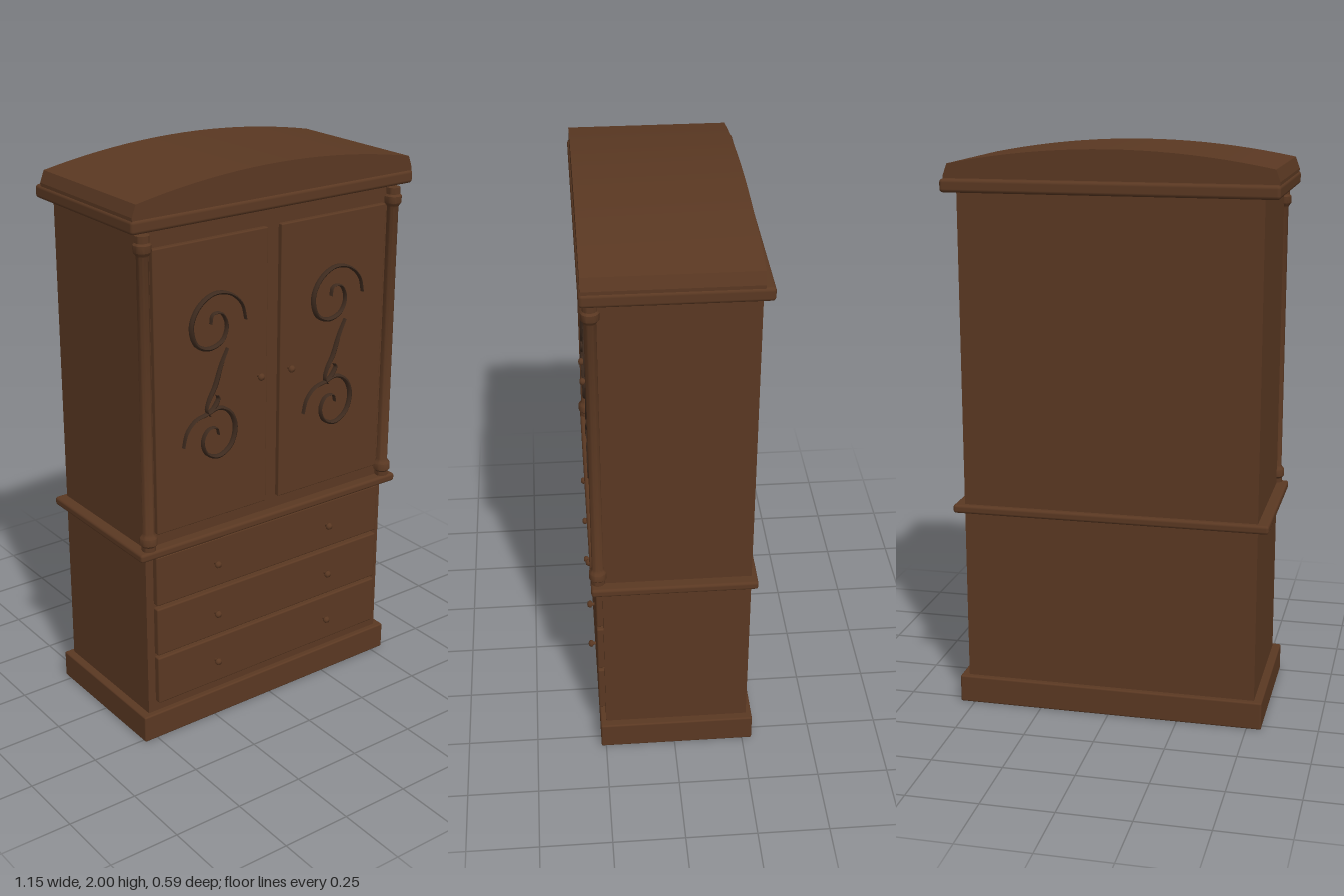
import * as THREE from 'three';
import { toCreasedNormals } from 'three/addons/utils/BufferGeometryUtils.js';
import { RoundedBoxGeometry } from 'three/addons/geometries/RoundedBoxGeometry.js';

export function createModel() {
  const wood = new THREE.MeshStandardMaterial({ color: 0x5a3822 });
  wood.name = 'brown wood';
  const carving = new THREE.MeshStandardMaterial({ color: 0x3d2a1e });
  carving.name = 'dark carving';

  const model = new THREE.Group();
  model.name = 'armoire';

  const add = (name, geometry, material = wood, parent = model) => {
    const mesh = new THREE.Mesh(geometry, material);
    mesh.name = name;
    parent.add(mesh);
    return mesh;
  };

  // Box given by its limits; r rounds the edges
  const block = (name, x0, x1, y0, y1, z0, z1, r = 0) => {
    const w = x1 - x0, h = y1 - y0, d = z1 - z0;
    const g = r ? new RoundedBoxGeometry(w, h, d, 2, r) : new THREE.BoxGeometry(w, h, d);
    g.translate((x0 + x1) / 2, (y0 + y1) / 2, (z0 + z1) / 2);
    return add(name, g);
  };

  // Carcass and mouldings
  block('base', -0.552, 0.552, 0, 0.1, -0.285, 0.267, 0.006);
  block('lowerCabinet', -0.523, 0.523, 0.09, 0.73, -0.265, 0.247);
  block('waistMoulding', -0.562, 0.562, 0.72, 0.751, -0.285, 0.286, 0.01);
  block('upperCabinet', -0.523, 0.523, 0.74, 1.86, -0.265, 0.247);
  block('cornice', -0.575, 0.575, 1.85, 1.896, -0.296, 0.296, 0.012);

  // Arched top with sloping ends
  const arch = new THREE.Shape();
  arch.moveTo(-0.57, 1.89);
  arch.lineTo(0.57, 1.89);
  arch.lineTo(0.57, 1.905);
  arch.lineTo(0.555, 1.945);
  arch.quadraticCurveTo(0, 2.055, -0.555, 1.945);
  arch.lineTo(-0.57, 1.905);
  const archGeometry = new THREE.ExtrudeGeometry(arch, { depth: 0.555, bevelEnabled: false, curveSegments: 20 });
  archGeometry.translate(0, 0, -0.265);
  add('archedTop', toCreasedNormals(archGeometry, 0.3));

  // Turned knob on a short neck, pointing forward
  const knobGeometry = new THREE.LatheGeometry(
    [[0.006, 0], [0.006, 0.014], [0.012, 0.018], [0.013, 0.024], [0.009, 0.031], [0, 0.033]]
      .map(([x, y]) => new THREE.Vector2(x, y)), 16);
  knobGeometry.rotateX(Math.PI / 2);
  const knob = (name, x, y, z) => add(name, knobGeometry).position.set(x, y, z);

  // Three drawers with two knobs each
  [[0.14, 0.322], [0.333, 0.515], [0.528, 0.715]].forEach(([y0, y1]) => {
    block('drawer', -0.493, 0.493, y0, y1, 0.235, 0.27, 0.006);
    for (const x of [-0.249, 0.249]) knob('drawerKnob', x, (y0 + y1) / 2, 0.264);
  });

  // Column profile with ringed base and capital
  const columnProfile = [
    [0, 0.752], [0.024, 0.752], [0.024, 0.768], [0.03, 0.775], [0.03, 0.8], [0.024, 0.808],
    [0.02, 0.815], [0.02, 1.77], [0.024, 1.777], [0.03, 1.785], [0.03, 1.808],
    [0.024, 1.815], [0.024, 1.838], [0, 1.838],
  ].map(([x, y]) => new THREE.Vector2(x, y));
  const columnGeometry = toCreasedNormals(new THREE.LatheGeometry(columnProfile, 20), 0.7);

  // Scrollwork strokes, drawn relative to the middle of a door
  const strokes = [
    [[0.13, 1.49], [0.115, 1.545], [0.065, 1.59], [0, 1.6], [-0.06, 1.565], [-0.088, 1.505],
      [-0.07, 1.44], [-0.02, 1.416], [0.035, 1.435], [0.053, 1.485], [0.03, 1.53], [-0.005, 1.53], [-0.012, 1.5]],
    [[0.055, 1.405], [0.03, 1.35], [0.005, 1.28], [-0.02, 1.235], [-0.03, 1.2], [-0.018, 1.18]],
    [[-0.125, 1.09], [-0.11, 1.14], [-0.075, 1.175], [-0.03, 1.187], [0.02, 1.2], [0.065, 1.175],
      [0.088, 1.12], [0.07, 1.055], [0.02, 1.025], [-0.03, 1.045], [-0.046, 1.09], [-0.025, 1.13], [0.01, 1.13], [0.018, 1.105]],
    [[-0.025, 1.19], [0, 1.205], [0.018, 1.235], [0.01, 1.25]],
  ];

  // Tube squashed onto the door and tapered at both ends
  const strokeGeometry = (points) => {
    const path = new THREE.CatmullRomCurve3(points.map(([x, y]) => new THREE.Vector3(x, y, 0)));
    const n = points.length * 6;
    const g = new THREE.TubeGeometry(path, n, 0.0085, 6, false);
    const p = g.attributes.position;
    for (let i = 0; i <= n; i++) {
      const c = path.getPointAt(i / n);
      const s = 0.35 + 0.65 * Math.sin(Math.PI * i / n);
      for (let j = 0; j < 7; j++) {
        const k = i * 7 + j;
        p.setXYZ(k, c.x + (p.getX(k) - c.x) * s, c.y + (p.getY(k) - c.y) * s, p.getZ(k) * 1.4);
      }
    }
    g.computeVertexNormals();
    return g;
  };
  const strokeGeometries = strokes.map(strokeGeometry);

  for (const side of [-1, 1]) {
    // Door, its knob and its carving (the carving repeats unmirrored)
    const inner = side * 0.028, outer = side * 0.483;
    block('door', Math.min(inner, outer), Math.max(inner, outer), 0.797, 1.785, 0.235, 0.265, 0.004);
    knob('doorKnob', side * 0.065, 1.275, 0.26);
    const scroll = new THREE.Group();
    scroll.name = 'scrollCarving';
    scroll.position.set(side * 0.253, 0, 0.268);
    strokeGeometries.forEach((g) => add('scrollStroke', g, carving, scroll));
    model.add(scroll);

    // Corner column
    add('column', columnGeometry).position.set(side * 0.517, 0, 0.261);
  }

  return model;
}
